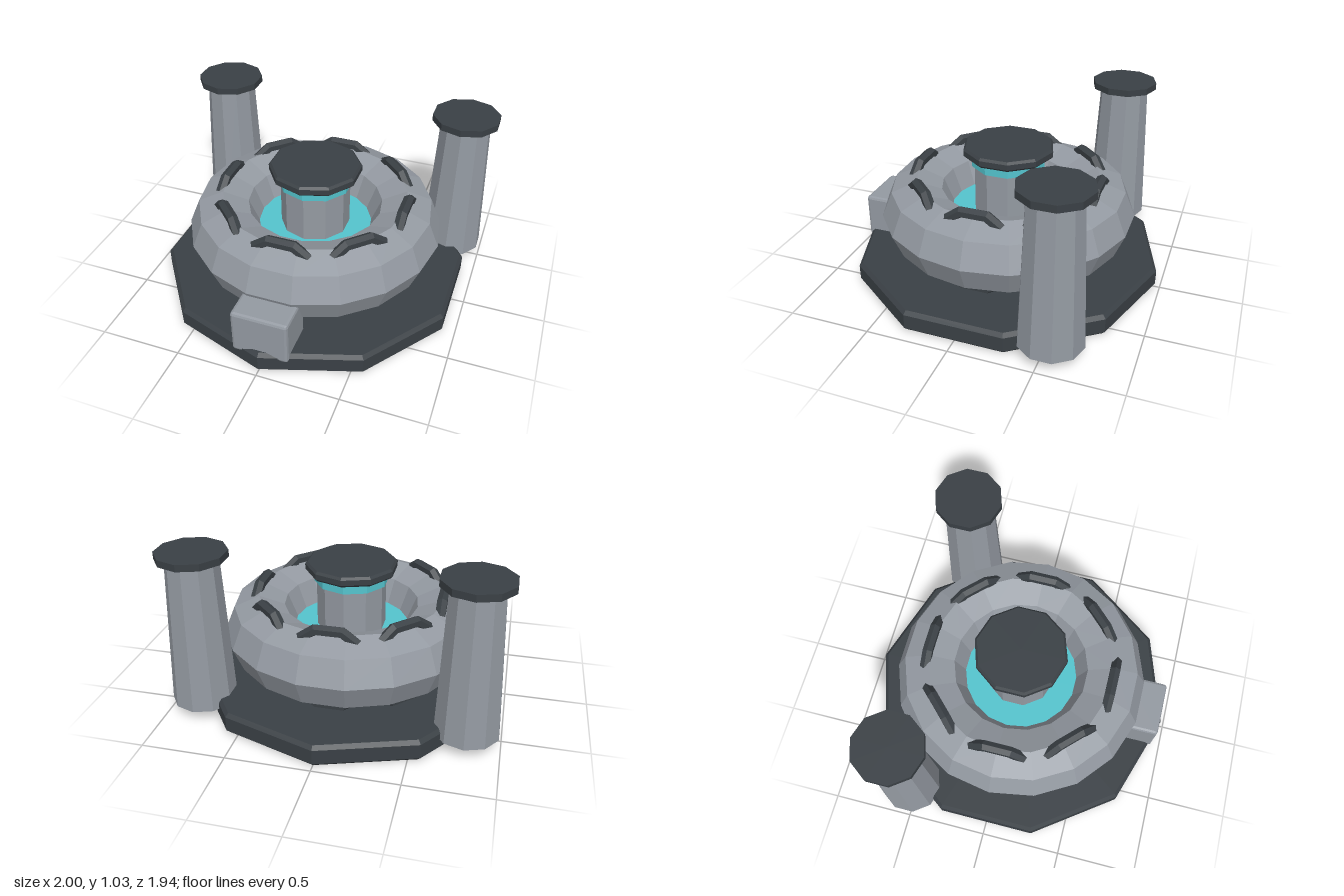
import * as THREE from 'three';
import { RoundedBoxGeometry } from 'three/addons/geometries/RoundedBoxGeometry.js';

const material = (name, color) => {
  const m = new THREE.MeshStandardMaterial({ color, flatShading: true });
  m.name = name;
  return m;
};

export function createModel() {
  const model = new THREE.Group();
  model.name = 'ringReactor';
  const grey = material('panelGrey', 0x949aa2);
  const dark = material('darkMetal', 0x3a4045);
  const teal = material('glowTeal', 0x54c4ce);

  const add = (name, geometry, mat, x = 0, y = 0, z = 0, parent = model) => {
    const mesh = new THREE.Mesh(geometry, mat);
    mesh.name = name;
    mesh.position.set(x, y, z);
    parent.add(mesh);
    return mesh;
  };

  // Cylinder standing between two heights
  const drum = (name, mat, rTop, rBottom, y0, y1, sides = 10, x = 0, z = 0) =>
    add(name, new THREE.CylinderGeometry(rTop, rBottom, y1 - y0, sides), mat, x, (y0 + y1) / 2, z);

  // Ten-sided slab with chamfered rims
  const slab = (name, mat, r, h, bevel, y) => {
    const profile = [
      [0, 0], [r - bevel, 0], [r, bevel], [r, h - bevel], [r - bevel, h], [0, h],
    ].map(([px, py]) => new THREE.Vector2(px, py));
    return add(name, new THREE.LatheGeometry(profile, 10), mat, 0, y, 0);
  };

  // Foundation
  slab('base', dark, 0.97, 0.135, 0.022, 0);

  // Main ring
  const ringRadius = 0.575, ringY = 0.4;
  const ring = add('mainRing', new THREE.TorusGeometry(ringRadius, 0.22, 8, 18), grey, 0, ringY, 0);
  ring.rotation.x = Math.PI / 2;

  // Coils buried in the ring, showing above and below it
  const coilGeometry = new THREE.TorusGeometry(0.254, 0.035, 6, 10);
  for (let i = 0; i < 8; i++) {
    const a = (i * Math.PI) / 4;
    const coil = add('coil', coilGeometry, dark, Math.sin(a) * ringRadius, ringY, Math.cos(a) * ringRadius);
    coil.rotation.y = a;
  }

  // Glowing floor, central column, collar and cap
  drum('glowFloor', teal, 0.4, 0.4, 0.37, 0.405, 18);
  drum('column', grey, 0.216, 0.216, 0.165, 0.71);
  drum('glowCollar', teal, 0.232, 0.232, 0.705, 0.775);
  slab('columnCap', dark, 0.285, 0.062, 0.014, 0.77);

  // Control box at the front
  add('controlBox', new RoundedBoxGeometry(0.345, 0.285, 0.265, 1, 0.018), grey, 0, 0.232, 0.802);

  // Rear pillars
  for (const side of [-1, 1]) {
    drum('pillar', grey, 0.155, 0.195, 0.075, 1.0, 10, side * 0.8, -0.535);
    drum('pillarCap', dark, 0.21, 0.21, 0.993, 1.035, 10, side * 0.8, -0.535);
  }
  return model;
}
